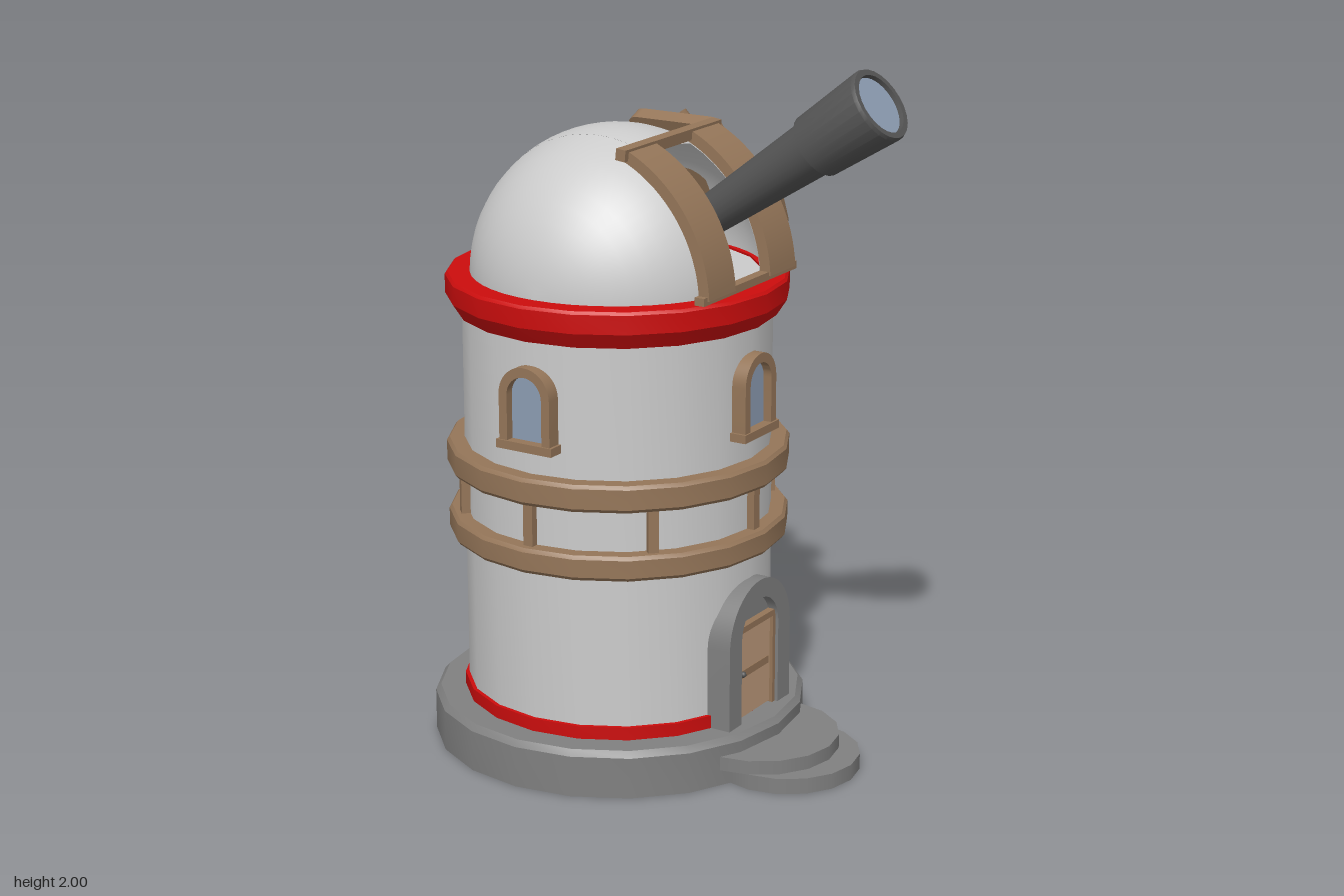
import * as THREE from 'three';
import { toCreasedNormals } from 'three/addons/utils/BufferGeometryUtils.js';

const mat = (color) => new THREE.MeshStandardMaterial({ color, side: THREE.DoubleSide });
const GREY = mat(0xcccccc), STONE = mat(0x808080), RED = mat(0xcc0d0d), WOOD = mat(0x957659);
const TAN = mat(0xbf9b7c), DARK = mat(0x555555), GLASS = mat(0x8d9db3);
const CX = -0.175, DOME_Y = 1.36, DOME_R = 0.412;

function add(parent, name, geo, material, x = 0, y = 0, z = 0) {
  const m = new THREE.Mesh(geo, material);
  m.name = name;
  m.position.set(x, y, z);
  parent.add(m);
  return m;
}

function group(parent, name, x = 0, y = 0, z = 0) {
  const g = new THREE.Group();
  g.name = name;
  g.position.set(x, y, z);
  parent.add(g);
  return g;
}

const box = (w, h, d) => new THREE.BoxGeometry(w, h, d);

// Turned part with sharp profile corners and a smooth circumference
function turned(pts, sides = 20) {
  const geo = new THREE.LatheGeometry(pts.map((p) => new THREE.Vector2(...p)), sides);
  return toCreasedNormals(geo, 0.45);
}

function extrude(shape, depth, z = 0) {
  const geo = new THREE.ExtrudeGeometry(shape, { depth, bevelEnabled: false, curveSegments: 10 });
  return toCreasedNormals(geo.translate(0, 0, z), 0.5);
}

// Round-headed outline, half width w, from y0 up to the crown y1
function arch(w, y0, y1, Type = THREE.Shape) {
  const s = new Type();
  s.moveTo(-w, y0);
  s.lineTo(w, y0);
  s.lineTo(w, y1 - w);
  s.absarc(0, y1 - w, w, 0, Math.PI, false);
  s.closePath();
  return s;
}

function archFrame(outer, inner) {
  const s = arch(...outer);
  s.holes.push(arch(...inner, THREE.Path));
  return s;
}

// Board outline: wide rounded lower part with a narrower tab on top
function boardOutline(i, Type = THREE.Shape) {
  const s = new Type(), w = 0.292 - i, t = 0.145 - i, r = 0.035;
  const b = -0.175 + i, m = 0.045 - i, h = 0.175 - i;
  s.moveTo(-w + r, b);
  s.lineTo(w - r, b);
  s.quadraticCurveTo(w, b, w, b + r);
  s.lineTo(w, m - r);
  s.quadraticCurveTo(w, m, w - r, m);
  s.lineTo(t + r, m);
  s.quadraticCurveTo(t, m, t, m + r);
  s.lineTo(t, h - r);
  s.quadraticCurveTo(t, h, t - r, h);
  s.lineTo(-t + r, h);
  s.quadraticCurveTo(-t, h, -t, h - r);
  s.lineTo(-t, m + r);
  s.quadraticCurveTo(-t, m, -t - r, m);
  s.lineTo(-w + r, m);
  s.quadraticCurveTo(-w, m, -w, m - r);
  s.lineTo(-w, b + r);
  s.quadraticCurveTo(-w, b, -w + r, b);
  return s;
}

// Slice of the dome between two z values, swept over the angles a0..a1 from vertical
function domeSlice(z0, z1, a0, a1) {
  const pts = [];
  const t0 = Math.asin(z0 / DOME_R), t1 = Math.asin(z1 / DOME_R);
  for (let i = 0; i <= 10; i++) {
    const t = t0 + ((t1 - t0) * i) / 10;
    pts.push(new THREE.Vector2(Math.max(0, DOME_R * Math.cos(t)), DOME_R * Math.sin(t)));
  }
  return new THREE.LatheGeometry(pts, 28, a0, a1 - a0).rotateX(-Math.PI / 2);
}

// Point a part's +y axis from one point to another
function aim(obj, from, to) {
  const dir = new THREE.Vector3(...to).sub(new THREE.Vector3(...from)).normalize();
  obj.position.set(...from);
  obj.quaternion.setFromUnitVectors(new THREE.Vector3(0, 1, 0), dir);
}

export function createModel() {
  const model = new THREE.Group();
  model.name = 'observatory';

  // Base, wall and rings
  const tower = group(model, 'tower', CX);
  add(tower, 'base', turned([[0, 0], [0.533, 0], [0.533, 0.118], [0.518, 0.135], [0, 0.135]]), STONE);
  add(tower, 'wall', turned([[0, 0.13], [0.435, 0.13], [0.435, DOME_Y], [0, DOME_Y]]), GREY);
  add(tower, 'footRing', turned([[0.42, 0.13], [0.446, 0.13], [0.446, 0.172], [0.42, 0.172]]), RED);
  add(tower, 'domeCollar', turned([[0.42, 1.26], [0.452, 1.26], [0.481, 1.305], [0.481, 1.358],
    [0.474, 1.366], [0.4, 1.366], [0.4, 1.33]]), RED);

  // Wooden gallery: two bands joined by posts
  for (const [y0, y1, r] of [[0.612, 0.683, 0.482], [0.808, 0.885, 0.485]]) {
    add(tower, 'galleryBand', turned([[0.42, y0], [r - 0.008, y0], [r, y0 + 0.01], [r, y1 - 0.01],
      [r - 0.008, y1], [0.42, y1]]), WOOD);
  }
  for (let i = 0; i < 8; i++) {
    const a = (i * Math.PI) / 4;
    const post = add(tower, 'galleryPost', box(0.03, 0.14, 0.04), WOOD, 0.435 * Math.sin(a), 0.745, 0.435 * Math.cos(a));
    post.rotation.y = a;
  }

  // Four arched windows
  for (let i = 0; i < 4; i++) {
    const win = group(tower, 'window');
    win.rotation.y = (i * Math.PI) / 2;
    add(win, 'windowFrame', extrude(archFrame([0.082, 0.965, 1.19], [0.056, 0.978, 1.163]), 0.055, 0.41), WOOD);
    add(win, 'windowGlass', extrude(arch(0.058, 0.97, 1.165), 0.02, 0.42), GLASS);
    add(win, 'windowSill', box(0.18, 0.024, 0.06), WOOD, 0, 0.967, 0.44);
  }

  // Door in a stone arch
  const door = group(tower, 'door');
  door.rotation.y = Math.PI / 2;
  add(door, 'doorArch', extrude(archFrame([0.165, 0.13, 0.535], [0.1, 0.134, 0.48]), 0.11, 0.36), STONE);
  add(door, 'fanlight', extrude(arch(0.1, 0.135, 0.48), 0.04, 0.4), STONE);
  add(door, 'doorPanel', box(0.18, 0.26, 0.03), TAN, 0, 0.27, 0.436);
  add(door, 'lintel', box(0.2, 0.018, 0.05), WOOD, 0, 0.407, 0.436);
  add(door, 'doorRail', box(0.15, 0.022, 0.02), WOOD, 0, 0.27, 0.444);
  for (const s of [-1, 1]) add(door, 'doorJamb', box(0.014, 0.265, 0.05), WOOD, s * 0.092, 0.268, 0.436);
  add(door, 'doorKnob', new THREE.SphereGeometry(0.009, 10, 8), DARK, -0.07, 0.272, 0.457);

  // Rounded steps
  add(model, 'lowerStep', new THREE.CylinderGeometry(0.208, 0.208, 0.045, 16), STONE, 0.383, 0.0225, 0);
  add(model, 'upperStep', new THREE.CylinderGeometry(0.226, 0.226, 0.04, 16), STONE, 0.295, 0.065, 0);

  // Dome with an open slot towards +x
  const dome = group(model, 'dome', CX, DOME_Y);
  const q = Math.PI / 2, slot = 0.1;
  add(dome, 'domeSide', domeSlice(slot, DOME_R, -q, q), GREY);
  add(dome, 'domeSide', domeSlice(-DOME_R, -slot, -q, q), GREY);
  add(dome, 'domeMiddle', domeSlice(-slot, slot, -q, 0.45), GREY);

  // Curved shutters beside the slot, with cross bars at both ends
  const curve = new THREE.Shape();
  curve.absarc(0, 0, 0.438, 0.05, 1.13, false);
  curve.absarc(0, 0, 0.406, 1.13, 0.05, true);
  curve.closePath();
  for (const z of [-0.228, 0.092]) add(dome, 'shutter', extrude(curve, 0.136, z), WOOD);
  const topBar = add(dome, 'topBar', box(0.03, 0.032, 0.49), WOOD, 0.17, 0.389, 0);
  topBar.rotation.z = -0.1;
  add(dome, 'bottomBar', box(0.03, 0.022, 0.49), WOOD, 0.417, 0.022, 0);

  // Telescope
  const scope = group(model, 'telescope');
  aim(scope, [-0.038, 1.439, 0], [0.642, 1.915, 0]);
  add(scope, 'telescopeTube', turned([[0, 0], [0.045, 0], [0.078, 0.595], [0.09, 0.6], [0.105, 0.82],
    [0.101, 0.83], [0.085, 0.83], [0.083, 0.8], [0, 0.8]], 24), DARK);
  add(scope, 'lens', new THREE.CylinderGeometry(0.083, 0.083, 0.012, 24), GLASS, 0, 0.812, 0);

  // Leaning board on the back of the dome
  const board = group(model, 'board', CX, 1.582, -0.362);
  board.rotation.x = 0.41;
  const frame = boardOutline(0);
  frame.holes.push(boardOutline(0.018, THREE.Path));
  add(board, 'boardFrame', extrude(frame, 0.045, -0.0225), WOOD);
  add(board, 'boardPanel', extrude(boardOutline(0.016), 0.03, -0.014), WOOD);

  // Corked bottle on the board
  const bottle = group(model, 'bottle');
  aim(bottle, [-0.07, 1.493, -0.478], [-0.237, 1.715, -0.392]);
  add(bottle, 'bottleBody', turned([[0, 0], [0.052, 0], [0.066, 0.015], [0.066, 0.16], [0.058, 0.185],
    [0.036, 0.205], [0.036, 0.24], [0, 0.24]], 18), GREY);
  add(bottle, 'cork', new THREE.CylinderGeometry(0.044, 0.04, 0.055, 14), WOOD, 0, 0.262, 0);

  return model;
}
